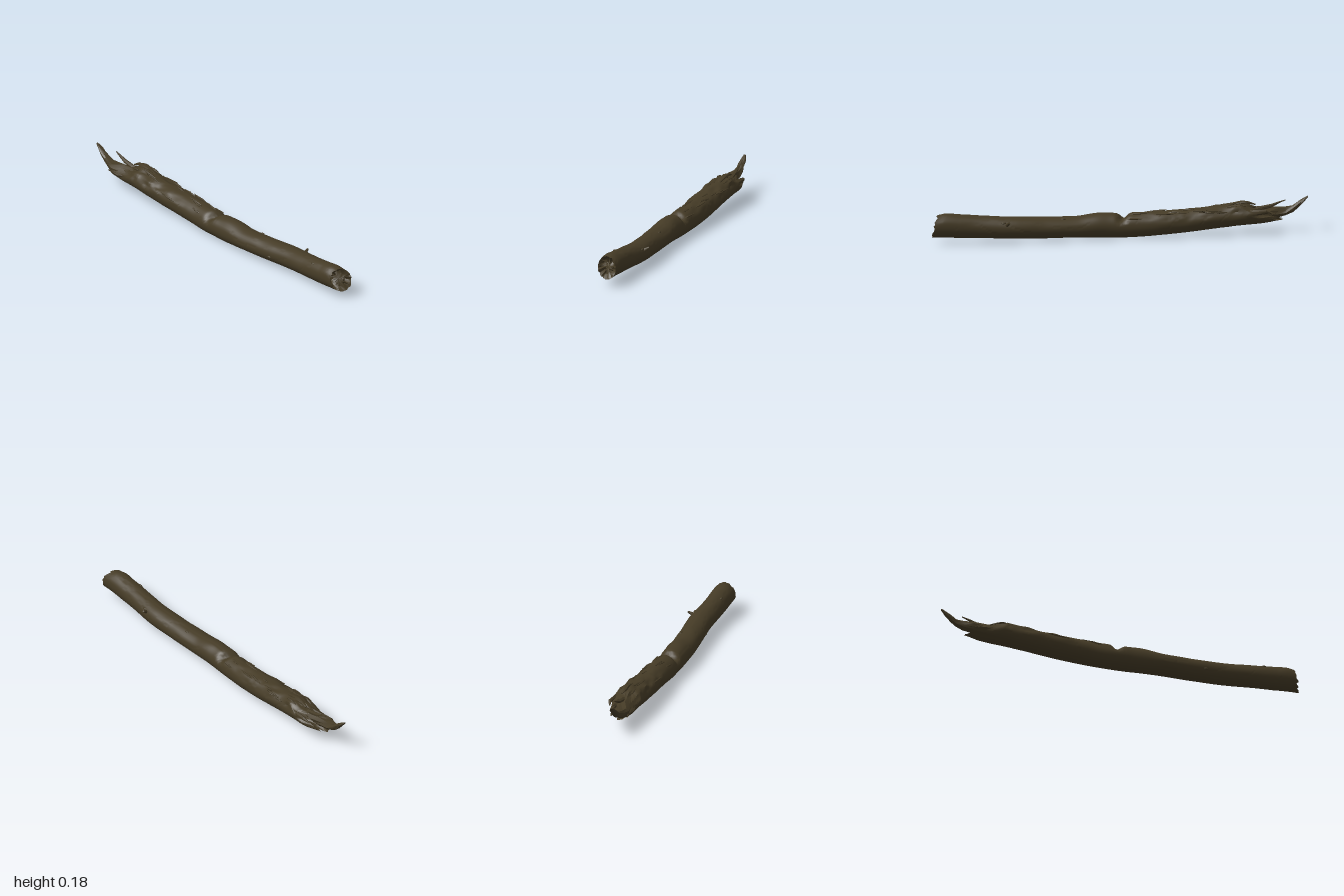
import * as THREE from 'three';
import { toCreasedNormals } from 'three/addons/utils/BufferGeometryUtils.js';

const bark = new THREE.MeshStandardMaterial({ color: 0x453b26 });
bark.name = 'dark weathered wood';

// Smooth seeded value noise; v wraps every `wrap` cells
const hash = (a, b) => {
  const s = Math.sin(a * 127.1 + b * 311.7) * 43758.5453;
  return s - Math.floor(s);
};
function noise(u, v, wrap) {
  const i = Math.floor(u), j = Math.floor(v);
  const f = (t) => t * t * (3 - 2 * t);
  const a = f(u - i), b = f(v - j);
  const h = (p, q) => hash(p, ((q % wrap) + wrap) % wrap);
  const near = h(i, j) * (1 - a) + h(i + 1, j) * a;
  const far = h(i, j + 1) * (1 - a) + h(i + 1, j + 1) * a;
  return (near * (1 - b) + far * b) * 2 - 1;
}

// Skin rings of [x, y, z] running toward +x; each ring turns from +y to +z
function loft(rings, crease) {
  const n = rings[0].length, pos = rings.flat(2), index = [];
  for (let i = 0; i < rings.length - 1; i++) {
    for (let j = 0; j < n; j++) {
      const a = i * n + j, b = i * n + (j + 1) % n;
      index.push(a, b, a + n, b, b + n, a + n);
    }
  }
  [0, rings.length - 1].forEach((r) => {
    const c = [0, 1, 2].map((k) => rings[r].reduce((s, p) => s + p[k], 0) / n);
    const id = pos.length / 3;
    pos.push(...c);
    for (let j = 0; j < n; j++) {
      const a = r * n + j, b = r * n + (j + 1) % n;
      if (r === 0) index.push(id, b, a); else index.push(id, a, b);
    }
  });
  const g = new THREE.BufferGeometry();
  g.setAttribute('position', new THREE.Float32BufferAttribute(pos, 3));
  g.setIndex(index);
  return toCreasedNormals(g, crease);
}

// Trunk outline: x, bottom y, top y, back z, front z
const outline = [
  [-0.80, 0.070, 0.140, -0.055, 0.052], [-0.72, 0.057, 0.150, -0.080, 0.060],
  [-0.65, 0.050, 0.168, -0.083, 0.065], [-0.58, 0.044, 0.162, -0.080, 0.065],
  [-0.40, 0.028, 0.147, -0.075, 0.066], [-0.20, 0.014, 0.140, -0.068, 0.068],
  [-0.08, 0.007, 0.135, -0.058, 0.075], [0.04, 0.006, 0.138, -0.050, 0.080],
  [0.12, 0.010, 0.139, -0.050, 0.083], [0.22, 0.016, 0.126, -0.051, 0.082],
  [0.40, 0.018, 0.130, -0.055, 0.073], [0.56, 0.024, 0.138, -0.059, 0.065],
  [0.70, 0.031, 0.147, -0.046, 0.070], [0.85, 0.036, 0.160, -0.038, 0.075],
  [0.92, 0.041, 0.167, -0.035, 0.077], [0.97, 0.043, 0.160, -0.034, 0.076],
];
function section(x) {
  let i = 0;
  while (i < outline.length - 2 && x > outline[i + 1][0]) i++;
  const at = (k) => outline[Math.min(Math.max(k, 0), outline.length - 1)];
  const t = THREE.MathUtils.clamp((x - at(i)[0]) / (at(i + 1)[0] - at(i)[0]), 0, 1);
  const mix = (k) => {
    const [a, b, c, d] = [-1, 0, 1, 2].map((o) => at(i + o)[k]);
    return b + 0.5 * t * (c - a + t * (2 * a - 5 * b + 4 * c - d + t * (3 * (b - c) + d - a)));
  };
  return [1, 2, 3, 4].map(mix);
}

// Point on the trunk: furrowed on top, smooth below, with a cut across the top
function surface(x, angle, scale = 1) {
  const [y0, y1, z0, z1] = section(x);
  const c = Math.cos(angle), s = Math.sin(angle), turn = angle / (Math.PI * 2);
  const upper = THREE.MathUtils.smoothstep(c, -0.3, 0.6);
  const torn = THREE.MathUtils.smoothstep(-x, 0.0, 0.6);
  const furrow = noise(x * 13 + 50, turn * 16, 16);
  let r = 1 + 0.025 * noise(x * 9, turn * 5, 5) + upper * (0.02 + 0.10 * torn) * furrow;
  r -= 0.10 * upper * torn * Math.max(0, noise(x * 20 + 9, turn * 22, 22) - 0.2);
  r -= 0.42 * Math.exp(-(((x + 0.025 + 0.02 * s) / 0.022) ** 2)) * THREE.MathUtils.smoothstep(c, 0.1, 0.95);
  r *= scale;
  return [x, (y0 + y1) / 2 + c * r * (y1 - y0) / 2, (z0 + z1) / 2 + s * r * (z1 - z0) / 2];
}

function trunkGeometry() {
  const sides = 40, steps = 190, rings = [];
  const ring = (x, scale, pit) => Array.from({ length: sides }, (_, j) => {
    const a = (j / sides) * Math.PI * 2, p = surface(x, a, scale);
    // Ragged rims: the right end is cut on a slant, the left end is splintered
    const right = Math.max(0, (x - 0.86) / 0.11), left = Math.max(0, (-0.62 - x) / 0.18);
    p[0] += right * (-0.018 * Math.sin(a) - 0.012 * Math.cos(a) + 0.014 * (hash(j, 3) - 0.6));
    p[0] += left * (0.05 * Math.cos(a) + 0.09 * (hash(Math.floor(j / 2), 8) - 0.4));
    p[0] += pit * (0.5 + hash(j, Math.round(scale * 10)));
    return p;
  });
  rings.push(ring(-0.8, 0.25, 0.07), ring(-0.8, 0.55, 0.06), ring(-0.8, 0.82, 0.035));
  for (let i = 0; i <= steps; i++) rings.push(ring(-0.8 + 1.77 * i / steps, 1, 0));
  rings.push(ring(0.97, 0.85, -0.008), ring(0.97, 0.62, -0.025), ring(0.97, 0.3, -0.02));
  return loft(rings, 0.7);
}

// Bent tapering strip through stations of [x, y, z, half height, half depth]
function strip(stations, sides, rough) {
  return loft(stations.map(([x, y, z, h, d], i) => Array.from({ length: sides }, (_, j) => {
    const a = (j / sides) * Math.PI * 2, r = 1 + rough * (hash(i + x * 7, j) - 0.5);
    return [x, y + Math.cos(a) * h * r, z + Math.sin(a) * d * r];
  })), 0.5);
}

export function createModel() {
  const model = new THREE.Group();
  model.name = 'brokenLog';
  const add = (name, geometry) => {
    const mesh = new THREE.Mesh(geometry, bark);
    mesh.name = name;
    model.add(mesh);
    return mesh;
  };
  add('trunk', trunkGeometry());

  // Long tongue of wood left at the broken end
  add('brokenTongue', strip([
    [-1.0, 0.186, 0.002, 0.004, 0.006], [-0.975, 0.166, 0.000, 0.012, 0.014],
    [-0.95, 0.144, 0.004, 0.017, 0.016], [-0.92, 0.124, 0.002, 0.018, 0.020],
    [-0.88, 0.110, 0.008, 0.022, 0.027], [-0.84, 0.105, 0.012, 0.027, 0.036],
    [-0.78, 0.104, 0.008, 0.034, 0.044], [-0.68, 0.102, 0.000, 0.036, 0.045],
  ], 11, 0.35));

  // Loose splinters around the break
  const splinters = [
    [[-0.875, 0.176, -0.022, 0.002, 0.003], [-0.84, 0.163, -0.020, 0.006, 0.007],
      [-0.80, 0.148, -0.018, 0.009, 0.012], [-0.72, 0.132, -0.018, 0.012, 0.016]],
    [[-0.79, 0.118, -0.072, 0.003, 0.004], [-0.76, 0.128, -0.079, 0.009, 0.010],
      [-0.70, 0.125, -0.074, 0.014, 0.012], [-0.62, 0.115, -0.062, 0.012, 0.012]],
    [[-0.86, 0.098, 0.046, 0.003, 0.003], [-0.81, 0.100, 0.045, 0.010, 0.007],
      [-0.72, 0.100, 0.046, 0.014, 0.010]],
    [[-0.82, 0.112, -0.046, 0.003, 0.004], [-0.77, 0.108, -0.050, 0.011, 0.009],
      [-0.68, 0.106, -0.052, 0.014, 0.012]],
    [[-0.715, 0.160, -0.030, 0.004, 0.006], [-0.68, 0.170, -0.026, 0.007, 0.014],
      [-0.645, 0.177, -0.026, 0.008, 0.017], [-0.60, 0.168, -0.024, 0.008, 0.014],
      [-0.54, 0.152, -0.020, 0.004, 0.006]],
  ];
  splinters.forEach((s, i) => add(`splinter${i + 1}`, strip(s, 6, 0.4)));

  // Slivers of peeling bark along the torn upper side
  for (let i = 0; i < 18; i++) {
    const x = -0.7 + 0.62 * (i / 18), length = 0.05 + 0.07 * hash(i, 21);
    const angle = -1.1 + 2.3 * hash(i, 5);
    const stations = [0, 0.3, 0.7, 1].map((t, k) => {
      const p = surface(x + t * length, angle + 0.1 * t, k === 0 ? 1.05 : 1);
      return [...p, [0.001, 0.004, 0.005, 0.001][k], [0.002, 0.005, 0.006, 0.001][k]];
    });
    add('barkSliver', strip(stations, 5, 0.4));
  }

  // Small twig stub on the back and knots on the sides
  const stub = add('twigStub', new THREE.CylinderGeometry(0.005, 0.012, 0.035, 7));
  stub.position.set(0.6, 0.112, -0.058);
  stub.rotation.set(-1.0, 0, 0.25);
  [[0.45, 1.75], [0.78, 0.7], [0.62, -1.0], [0.3, -0.5]].forEach(([x, a]) => {
    const knot = add('knot', new THREE.SphereGeometry(1, 8, 6));
    knot.scale.set(0.014, 0.006, 0.006);
    knot.position.set(...surface(x, a, 0.98));
  });
  return model;
}
